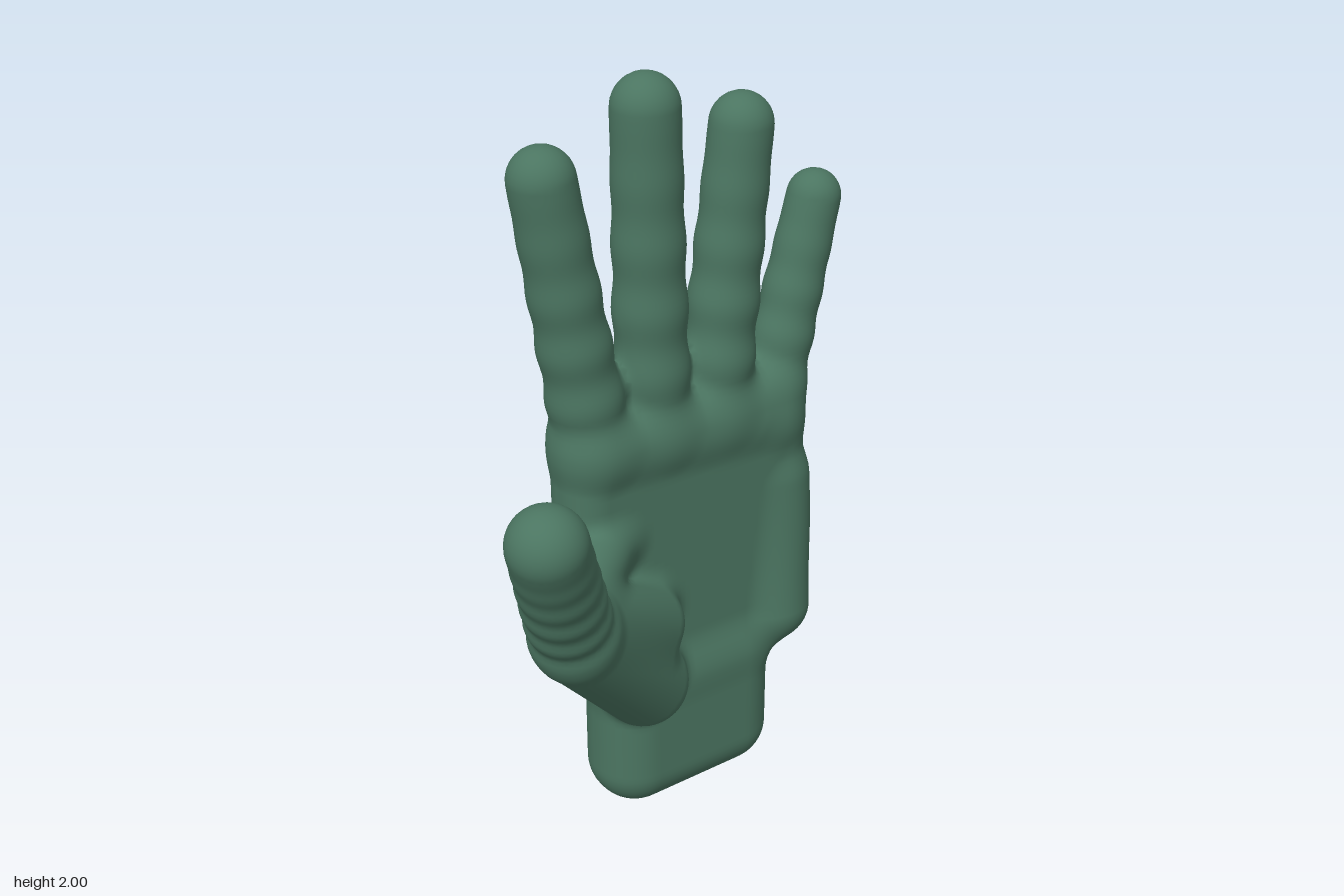
import * as THREE from 'three';
import { mergeVertices } from 'three/addons/utils/BufferGeometryUtils.js';

const lerp = THREE.MathUtils.lerp;

// Tapered capsule from a to b; ripple adds soft creases along it
const limb = (a, ra, b, rb, ripple = 0) => {
  const d = b.map((v, i) => v - a[i]);
  const len2 = d[0] ** 2 + d[1] ** 2 + d[2] ** 2;
  return (x, y, z) => {
    const px = x - a[0], py = y - a[1], pz = z - a[2];
    const t = Math.min(1, Math.max(0, (px * d[0] + py * d[1] + pz * d[2]) / len2));
    const r = lerp(ra, rb, t) + ripple * (Math.cos(t * Math.PI * 10) - 1) * (1 - t * t);
    return Math.hypot(px - d[0] * t, py - d[1] * t, pz - d[2] * t) - r;
  };
};

// Rounded slab whose left and right edges follow [y, xMin, xMax] rows
const slab = (rows, zMin, zMax, r) => {
  const y0 = rows[0][0], y1 = rows[rows.length - 1][0];
  return (x, y, z) => {
    const yc = Math.min(y1, Math.max(y0, y));
    let i = 0;
    while (i < rows.length - 2 && yc > rows[i + 1][0]) i++;
    const [ya, la, ra] = rows[i], [yb, lb, rb] = rows[i + 1];
    let t = (yc - ya) / (yb - ya);
    t = t * t * (3 - 2 * t);
    const left = lerp(la, lb, t), right = lerp(ra, rb, t);
    const qx = Math.abs(x - (left + right) / 2) - (right - left) / 2 + r;
    const qy = Math.abs(y - (y0 + y1) / 2) - (y1 - y0) / 2 + r;
    const qz = Math.abs(z - (zMin + zMax) / 2) - (zMax - zMin) / 2 + r;
    return Math.hypot(Math.max(qx, 0), Math.max(qy, 0), Math.max(qz, 0))
      + Math.min(Math.max(qx, qy, qz), 0) - r;
  };
};

// Parts: name, distance function, softness of the blend into the rest
const parts = [
  ['palm', slab([[0.3, -0.13, 0.38], [0.48, -0.16, 0.48], [0.72, -0.2, 0.505],
    [0.95, -0.235, 0.49], [1.19, -0.235, 0.475]], -0.275, -0.085, 0.085), 0],
  ['wrist', slab([[0, -0.145, 0.385], [0.5, -0.145, 0.385]], -0.31, -0.06, 0.12), 0.05],
  ['palm', limb([0.4, 0.47, -0.145], 0.105, [0.415, 0.85, -0.165], 0.09), 0.04],
  ['palm', limb([-0.135, 1.09, -0.17], 0.096, [0.38, 1.05, -0.172], 0.096), 0.03],
  // ball of the thumb and the web to the first finger
  ['thumbBase', limb([-0.36, 0.76, 0.085], 0.1, [-0.07, 0.445, -0.07], 0.118), 0.045],
  ['thumbBase', limb([-0.34, 0.8, 0.07], 0.085, [-0.07, 0.62, -0.07], 0.108), 0.05],
  ['thumbBase', limb([-0.34, 0.81, 0.05], 0.07, [-0.12, 0.85, -0.14], 0.075), 0.04],
  ['thumb', limb([-0.375, 0.8, 0.088], 0.108, [-0.51, 1.145, 0.215], 0.095, 0.003), 0.03],
  ['indexFinger', limb([-0.13, 1.1, -0.18], 0.1, [-0.25, 1.8, -0.18], 0.08, 0.004), 0.04],
  ['middleFinger', limb([0.042, 1.1, -0.178], 0.1, [0.02, 1.918, -0.165], 0.082, 0.004), 0.04],
  ['ringFinger', limb([0.225, 1.1, -0.178], 0.099, [0.297, 1.823, -0.172], 0.078, 0.004), 0.04],
  ['littleFinger', limb([0.39, 1.02, -0.18], 0.09, [0.535, 1.588, -0.185], 0.068, 0.003), 0.04],
  // knuckles on the back
  ...[[-0.14, 1.09], [0.04, 1.1], [0.225, 1.09], [0.4, 1.06]].map(([x, y]) =>
    ['palm', limb([x, y - 0.03, -0.2], 0.08, [x, y + 0.04, -0.205], 0.08), 0.03]),
];

// Smooth union of all parts
function field(x, y, z) {
  let d = Infinity;
  for (const [, shape, k] of parts) {
    const e = shape(x, y, z);
    const h = Math.max(k - Math.abs(d - e), 0);
    d = Math.min(d, e) - (h > 0 ? h * h / (4 * k) : 0);
  }
  return d;
}

function nearestPart(x, y, z) {
  let best = Infinity, name = '';
  for (const [n, shape] of parts) {
    const d = shape(x, y, z);
    if (d < best) { best = d; name = n; }
  }
  return name;
}

function gradient([x, y, z]) {
  const e = 0.002;
  return [field(x + e, y, z) - field(x - e, y, z), field(x, y + e, z) - field(x, y - e, z),
    field(x, y, z + e) - field(x, y, z - e)].map(v => v / (2 * e));
}

export function createModel() {
  // Sample the field on a grid
  const step = 0.016, min = [-0.65, -0.04, -0.36], n = [82, 131, 45];
  const stride = [1, n[0], n[0] * n[1]];
  const values = new Float32Array(n[0] * n[1] * n[2]);
  const each = visit => {
    for (let k = 1; k < n[2] - 1; k++)
      for (let j = 1; j < n[1] - 1; j++)
        for (let i = 1; i < n[0] - 1; i++) visit([i, j, k], i + j * stride[1] + k * stride[2]);
  };
  values.fill(1);
  each((c, id) => { values[id] = field(...c.map((v, a) => min[a] + v * step)); });

  // One skin point per crossed cell, slid onto the surface
  const positions = [], normals = [], pointOf = new Map();
  const skinPoint = id => {
    if (pointOf.has(id)) return pointOf.get(id);
    const cell = [id % n[0], Math.floor(id / n[0]) % n[1], Math.floor(id / stride[2])];
    let p = cell.map((v, a) => min[a] + (v + 0.5) * step);
    for (let s = 0; s < 3; s++) {
      const g = gradient(p), d = field(...p);
      const len2 = Math.max(0.3, g[0] ** 2 + g[1] ** 2 + g[2] ** 2);
      p = p.map((v, a) => v - g[a] * d / len2);
    }
    const g = gradient(p), len = Math.hypot(...g) || 1;
    positions.push(...p);
    normals.push(...g.map(v => v / len));
    pointOf.set(id, pointOf.size);
    return pointOf.size - 1;
  };

  // A quad around every crossed grid edge, sorted by the part it belongs to
  const faces = {};
  each((c, id) => {
    for (let a = 0; a < 3; a++) {
      const inside = values[id] < 0;
      if (inside === values[id + stride[a]] < 0) continue;
      const sb = stride[(a + 1) % 3], sc = stride[(a + 2) % 3];
      const q = [id - sb - sc, id - sc, id, id - sb].map(skinPoint);
      if (!inside) q.reverse();
      const name = nearestPart(...positions.slice(q[0] * 3, q[0] * 3 + 3));
      (faces[name] ??= []).push(q[0], q[1], q[2], q[0], q[2], q[3]);
    }
  });

  const skin = new THREE.MeshStandardMaterial({ color: 0x4b7561 });
  skin.name = 'green skin';
  const hand = new THREE.Group();
  hand.name = 'hand';
  for (const [name, index] of Object.entries(faces)) {
    const shared = new THREE.BufferGeometry();
    shared.setAttribute('position', new THREE.Float32BufferAttribute(positions, 3));
    shared.setAttribute('normal', new THREE.Float32BufferAttribute(normals, 3));
    shared.setIndex(index);
    const mesh = new THREE.Mesh(mergeVertices(shared.toNonIndexed(), 1e-6), skin);
    mesh.name = name;
    hand.add(mesh);
  }
  return hand;
}
